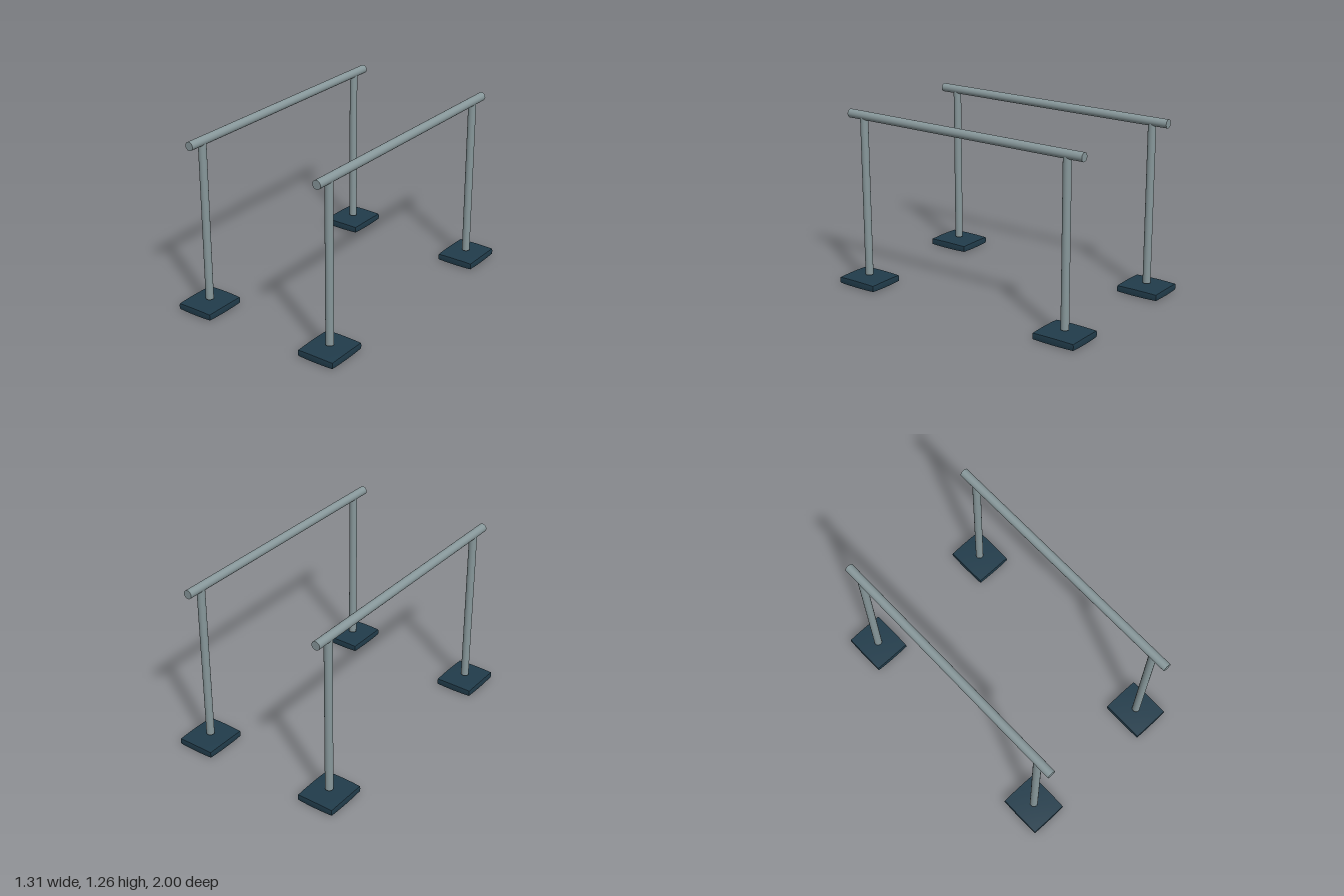
import * as THREE from 'three';

const RAIL_X = 0.515, POST_Z = 0.84, RAIL_Y = 1.23;

// Slightly pillowed slab: every face swells a little towards its middle
function footGeometry() {
  const hx = 0.136, hy = 0.021, hz = 0.155;
  const geometry = new THREE.BoxGeometry(2, 2, 2, 8, 4, 8);
  const p = geometry.attributes.position;
  const swell = (a, b) => 1 - (a * a + b * b) / 2;
  for (let i = 0; i < p.count; i++) {
    const u = p.getX(i), v = p.getY(i), w = p.getZ(i);
    p.setXYZ(i,
      u * (hx + 0.004 * swell(v, w)),
      v * (hy + 0.006 * swell(u, w)),
      w * (hz + 0.004 * swell(u, v)));
  }
  geometry.computeVertexNormals();
  return geometry;
}

export function createModel() {
  const model = new THREE.Group();
  model.name = 'parallelBars';

  const metal = new THREE.MeshStandardMaterial({ color: 0x87979a });
  metal.name = 'grey metal';
  const rubber = new THREE.MeshStandardMaterial({ color: 0x213c4b });
  rubber.name = 'dark blue rubber';

  const postBottom = 0.067, postTop = 1.22;
  const railGeometry = new THREE.CylinderGeometry(0.031, 0.031, 1.93, 32).rotateX(Math.PI / 2);
  const postGeometry = new THREE.CylinderGeometry(0.028, 0.028, postTop - postBottom, 32);
  const foot = footGeometry();

  const add = (parent, name, geometry, material, x, y, z) => {
    const mesh = new THREE.Mesh(geometry, material);
    mesh.name = name;
    mesh.position.set(x, y, z);
    parent.add(mesh);
  };

  // One bar on each side, with a post and foot at either end
  for (const [side, sx] of [['left', 1], ['right', -1]]) {
    const bar = new THREE.Group();
    bar.name = side + 'Bar';
    bar.position.x = sx * RAIL_X;
    add(bar, side + 'Rail', railGeometry, metal, 0, RAIL_Y, 0);
    for (const [end, sz] of [['Front', 1], ['Back', -1]]) {
      add(bar, side + end + 'Post', postGeometry, metal, 0, (postBottom + postTop) / 2, sz * POST_Z);
      add(bar, side + end + 'Foot', foot, rubber, 0, 0.027, sz * POST_Z);
    }
    model.add(bar);
  }
  return model;
}
